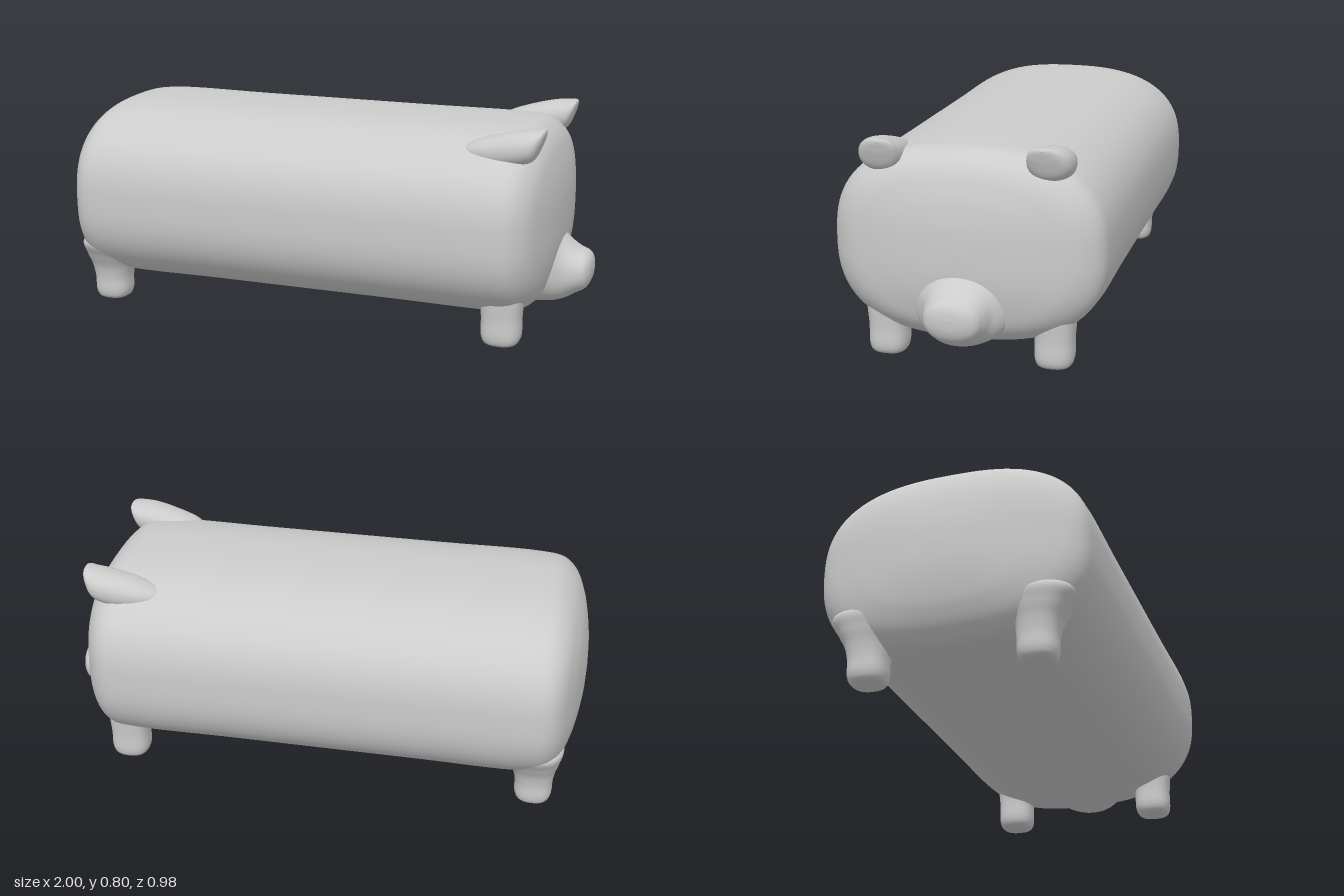
import * as THREE from 'three';

const material = new THREE.MeshStandardMaterial({ color: 0xcccccc });

// Smooth skin through superellipse sections [t, c1, c2, r1, r2] along an axis.
// Axis 'x': c1, r1 are y and c2, r2 are z.  Axis 'y': c1, r1 are z and c2, r2 are x.
function loft(axis, sections, power, around = 64, steps = 6) {
  const radii = new THREE.CatmullRomCurve3(sections.map(s => new THREE.Vector3(s[0], s[3], s[4])));
  const centres = new THREE.CatmullRomCurve3(sections.map(s => new THREE.Vector3(s[0], s[1], s[2])));
  const rows = (sections.length - 1) * steps;
  const position = [], index = [];
  const bend = v => Math.sign(v) * Math.abs(v) ** (2 / power);
  for (let i = 0; i <= rows; i++) {
    const r = radii.getPoint(i / rows), c = centres.getPoint(i / rows);
    for (let j = 0; j < around; j++) {
      const a = (j / around) * Math.PI * 2;
      const p = c.y + Math.max(r.y, 0.0005) * bend(Math.cos(a));
      const q = c.z + Math.max(r.z, 0.0005) * bend(Math.sin(a));
      if (axis === 'x') position.push(r.x, p, q);
      else position.push(q, r.x, p);
      if (i < rows) {
        const k = (j + 1) % around, m = i * around, n = m + around;
        index.push(m + j, m + k, n + k, m + j, n + k, n + j);
      }
    }
  }
  const geometry = new THREE.BufferGeometry();
  geometry.setAttribute('position', new THREE.Float32BufferAttribute(position, 3));
  geometry.setIndex(index);
  geometry.computeVertexNormals();
  return geometry;
}

export function createModel() {
  const model = new THREE.Group();
  const add = (name, geometry) => {
    const mesh = new THREE.Mesh(geometry, material);
    mesh.name = name;
    model.add(mesh);
  };

  // Long barrel body with domed ends
  const cy = 0.427;
  add('body', loft('x', [
    [-1, 0, 0], [-0.995, 0.09, 0.115], [-0.98, 0.175, 0.225], [-0.96, 0.235, 0.325],
    [-0.92, 0.297, 0.435], [-0.87, 0.332, 0.476], [-0.78, 0.345, 0.485], [-0.4, 0.345, 0.485],
    [0.3, 0.345, 0.485], [0.68, 0.345, 0.485], [0.77, 0.337, 0.472], [0.83, 0.292, 0.41],
    [0.866, 0.21, 0.29], [0.885, 0.11, 0.15], [0.89, 0, 0],
  ].map(([x, ry, rz]) => [x, cy, 0, ry, rz]), 2.6, 96));

  // Snout swelling out of the lower face
  add('snout', loft('x', [
    [0.74, 0.24, 0, 0.145, 0.22], [0.85, 0.235, 0, 0.14, 0.165], [0.9, 0.22, 0, 0.113, 0.122],
    [0.94, 0.218, 0, 0.087, 0.107], [0.975, 0.221, 0, 0.069, 0.092],
    [0.993, 0.226, 0, 0.043, 0.058], [1, 0.23, 0, 0, 0],
  ], 2.2));

  for (const side of [-1, 1]) {
    const label = side < 0 ? 'Far' : 'Near';

    // Ears grow out of the upper corners and point forwards
    add('ear' + label, loft('x', [
      [0.54, 0.7, 0.29, 0, 0], [0.6, 0.706, 0.29, 0.035, 0.05], [0.7, 0.717, 0.292, 0.058, 0.073],
      [0.78, 0.732, 0.295, 0.061, 0.077], [0.825, 0.745, 0.292, 0.053, 0.07],
      [0.848, 0.769, 0.286, 0.031, 0.055], [0.858, 0.784, 0.283, 0.015, 0.035],
      [0.863, 0.79, 0.282, 0, 0],
    ].map(([x, y, z, ry, rz]) => [x, y, z * side, ry, rz]), 2.2, 48));

    // Straight front legs
    add('frontLeg' + label, loft('y', [
      [0, 0, 0], [0.002, 0.04, 0.04], [0.012, 0.06, 0.062], [0.035, 0.068, 0.072],
      [0.1, 0.069, 0.073], [0.25, 0.069, 0.073], [0.27, 0, 0],
    ].map(([y, rz, rx]) => [y, 0.3 * side, 0.727, rz, rx]), 2.6, 40));

    // Back legs flare into the body
    add('backLeg' + label, loft('y', [
      [0, 0.3, -0.845, 0, 0], [0.002, 0.3, -0.845, 0.04, 0.04], [0.012, 0.3, -0.845, 0.06, 0.06],
      [0.035, 0.3, -0.845, 0.068, 0.069], [0.09, 0.3, -0.845, 0.07, 0.071],
      [0.14, 0.302, -0.843, 0.079, 0.081], [0.19, 0.303, -0.838, 0.104, 0.1],
      [0.25, 0.3, -0.825, 0.135, 0.118], [0.31, 0.28, -0.8, 0, 0],
    ].map(([y, z, x, rz, rx]) => [y, z * side, x, rz, rx]), 2.5, 40));
  }
  return model;
}
